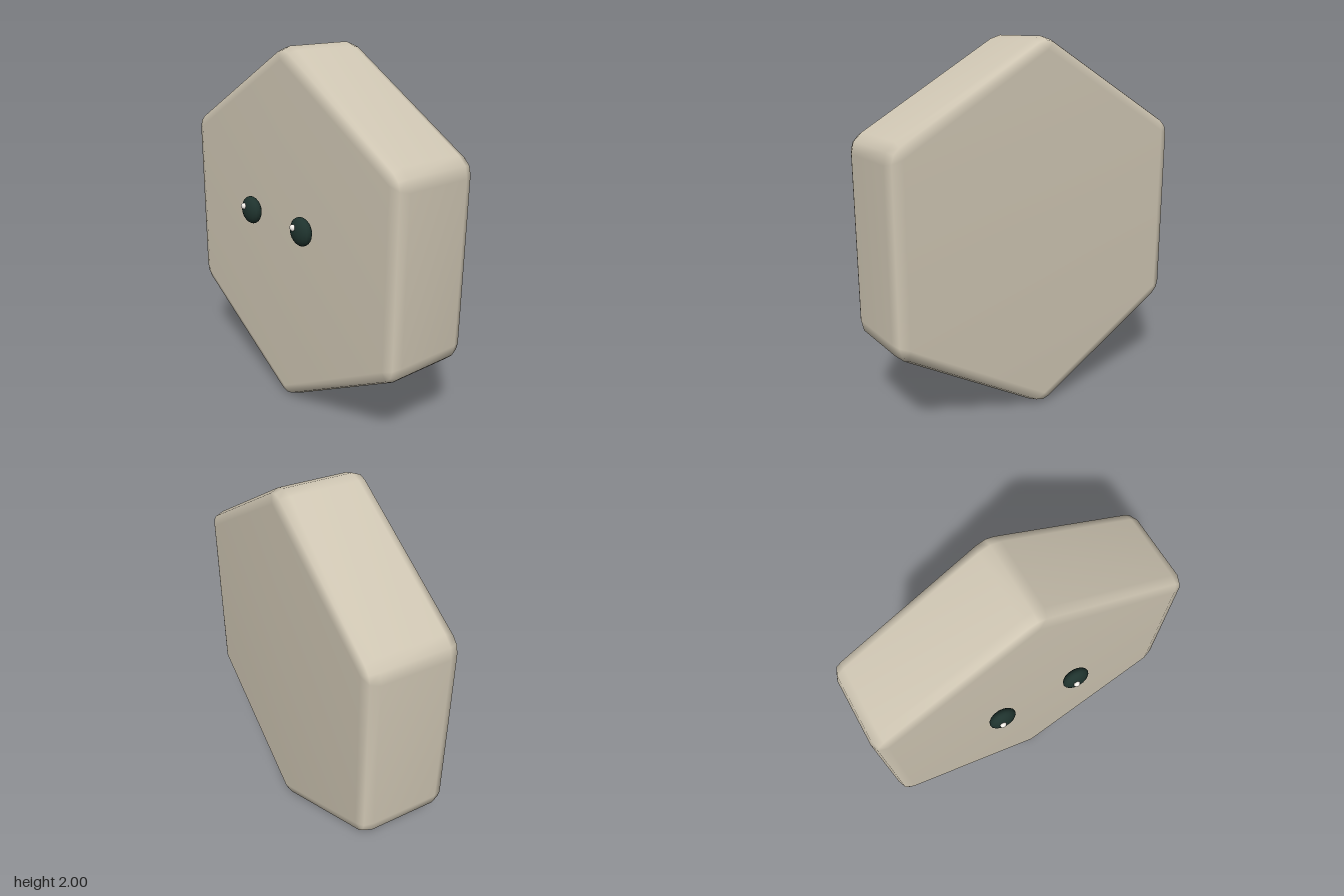
import * as THREE from 'three';
import { mergeVertices } from 'three/addons/utils/BufferGeometryUtils.js';

const mat = (color) => new THREE.MeshStandardMaterial({ color });

// Bevelled hexagonal prism: rings run from the front cap to the back cap
function hexGeometry() {
  // [apothem, corner cut, radius of corner middle, z]
  const half = [[0.81, 0, 0.935, 0.2], [0.862, 0.05, 0.982, 0.182], [0.88, 0.07, 1.0, 0.135]];
  const back = half.map(([a, c, r, z]) => [a, c, r, -0.1 - z]).reverse();
  const rings = [...half, ...back];
  const pos = [], index = [], n = 18;
  for (const [a, cut, mid, z] of rings) {
    const R = a / Math.cos(Math.PI / 6);
    for (let k = 0; k < 6; k++) {
      const t = Math.PI / 6 + k * Math.PI / 3;
      const cx = Math.cos(t), cy = Math.sin(t);
      // cut points lie on the two edges that meet at this corner
      const out = R - cut / 2, side = cut * Math.cos(Math.PI / 6);
      const m = cut ? mid : R;
      pos.push(cx * out + cy * side, cy * out - cx * side, z);
      pos.push(cx * m, cy * m, z);
      pos.push(cx * out - cy * side, cy * out + cx * side, z);
    }
  }
  for (let l = 0; l < rings.length - 1; l++) {
    for (let i = 0; i < n; i++) {
      const j = (i + 1) % n, a = l * n, b = a + n;
      index.push(a + i, b + i, b + j, a + i, b + j, a + j);
    }
  }
  // caps
  const front = pos.length / 3, rear = front + 1, last = (rings.length - 1) * n;
  pos.push(0, 0, 0.2, 0, 0, -0.3);
  for (let i = 0; i < n; i++) {
    const j = (i + 1) % n;
    index.push(front, i, j, rear, last + j, last + i);
  }
  let geo = new THREE.BufferGeometry();
  geo.setAttribute('position', new THREE.Float32BufferAttribute(pos, 3));
  geo.setIndex(index);
  geo = mergeVertices(geo, 1e-4);
  geo.computeVertexNormals();
  return geo;
}

function ellipsoid(name, rx, ry, rz, material, x, y, z) {
  const geo = new THREE.SphereGeometry(1, 16, 12).scale(rx, ry, rz);
  const mesh = new THREE.Mesh(geo, material);
  mesh.name = name;
  mesh.position.set(x, y, z);
  return mesh;
}

export function createModel() {
  const group = new THREE.Group();
  group.name = 'hexagonFigure';

  // body
  const body = new THREE.Mesh(hexGeometry(), mat(0xcfc6b3));
  body.name = 'body';
  body.position.y = 1;
  group.add(body);

  // eyes, each with a small glint on the same side
  const dark = mat(0x1f332e), white = mat(0xf4f0ea);
  for (const s of [1, -1]) {
    const eye = new THREE.Group();
    eye.name = s > 0 ? 'leftEye' : 'rightEye';
    eye.position.set(s * 0.227, 1.097, 0.245);
    eye.add(ellipsoid('eyeball', 0.077, 0.077, 0.042, dark, 0, 0, 0));
    eye.add(ellipsoid('glint', 0.018, 0.018, 0.014, white, -0.018, 0.025, 0.04));
    group.add(eye);
  }
  return group;
}
